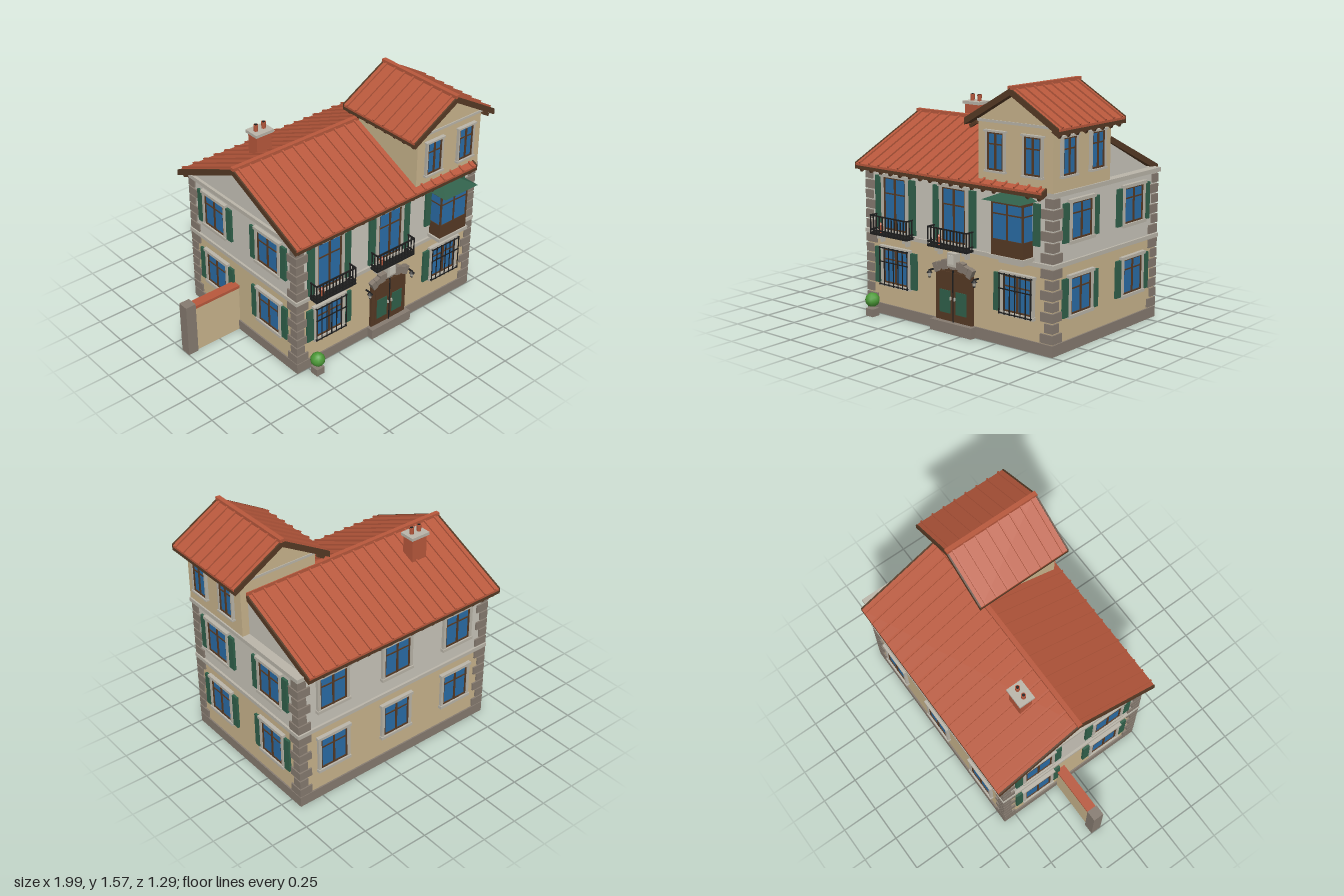
import * as THREE from 'three';

const mat = (name, color) => {
  const m = new THREE.MeshStandardMaterial({ color });
  m.name = name;
  return m;
};
const M = {
  ochre: mat('ochre plaster', 0xc9b48c),
  plaster: mat('pale plaster', 0xc9c5ba),
  trim: mat('light stone trim', 0xbab5a9),
  stone: mat('grey stone', 0x867b70),
  tile: mat('terracotta', 0xb8583c),
  wood: mat('brown wood', 0x563a25),
  iron: mat('black iron', 0x1e1e1e),
  glass: mat('blue glass', 0x2a6ca6),
  green: mat('green paint', 0x30604a),
  leaf: mat('leaf green', 0x4b9a36),
};

function add(parent, name, geo, material, x = 0, y = 0, z = 0) {
  const m = new THREE.Mesh(geo, material);
  m.name = name;
  m.position.set(x, y, z);
  parent.add(m);
  return m;
}
const box = (p, name, m, w, h, d, x, y, z) => add(p, name, new THREE.BoxGeometry(w, h, d), m, x, y, z);
// box given by its limits
const span = (p, name, m, x0, x1, y0, y1, z0, z1) =>
  box(p, name, m, x1 - x0, y1 - y0, z1 - z0, (x0 + x1) / 2, (y0 + y1) / 2, (z0 + z1) / 2);
const cyl = (p, name, m, rt, rb, h, x, y, z, n = 10) =>
  add(p, name, new THREE.CylinderGeometry(rt, rb, h, n), m, x, y, z);
function group(parent, name) {
  const g = new THREE.Group();
  g.name = name;
  parent.add(g);
  return g;
}
const prism = (pts, depth) => new THREE.ExtrudeGeometry(
  new THREE.Shape(pts.map(([x, y]) => new THREE.Vector2(x, y))), { depth, bevelEnabled: false });

// wall planes of the house
const X0 = -0.58, X1 = 0.91, Z0 = -0.58, Z1 = 0.49;
function onWall(g, side, u, y) {
  if (side === 'front') g.position.set(u, y, Z1);
  if (side === 'back') { g.position.set(u, y, Z0); g.rotation.y = Math.PI; }
  if (side === 'right') { g.position.set(X1, y, u); g.rotation.y = Math.PI / 2; }
  if (side === 'left') { g.position.set(X0, y, u); g.rotation.y = -Math.PI / 2; }
  return g;
}

// window facing +z, centred on its origin
function makeWindow(parent, w, h, shutters = [], t = 0.02) {
  const g = group(parent, 'window');
  box(g, 'glass', M.glass, w - t, h - t, 0.008, 0, 0, 0.004);
  for (const s of [-1, 1]) {
    box(g, 'frameSide', M.trim, t, h, 0.02, s * (w - t) / 2, 0, 0.01);
    box(g, 'frameRail', M.trim, w + (s > 0 ? 0.016 : 0.01), t, 0.026, 0, s * (h - t) / 2, 0.013);
    box(g, 'sashSide', M.wood, 0.01, h - 2 * t, 0.014, s * (w / 2 - t - 0.005), 0, 0.007);
    box(g, 'sashRail', M.wood, w - 2 * t, 0.01, 0.014, 0, s * (h / 2 - t - 0.005), 0.007);
  }
  box(g, 'mullion', M.wood, 0.012, h - 2 * t, 0.014, 0, 0, 0.008);
  box(g, 'transom', M.wood, w - 2 * t, 0.008, 0.014, 0, h * 0.17, 0.006);
  for (const s of shutters) box(g, 'shutter', M.green, 0.05, h - 0.03, 0.016, s * (w / 2 + 0.03), -0.003, 0.008);
  return g;
}

// gabled roof with its ridge along x
function gableRoof(parent, name, half, ridge, eave, length, ribs) {
  const g = group(parent, name);
  const chevron = (a, b, len, grow = 0) => {
    const e = grow * (ridge - eave) / half;
    const geo = prism([[-half - grow, eave - b - e], [0, ridge - b], [half + grow, eave - b - e],
      [half + grow, eave - a - e], [0, ridge - a], [-half - grow, eave - a - e]], len);
    return geo.translate(0, 0, -len / 2).rotateY(Math.PI / 2);
  };
  add(g, 'tiles', chevron(0, 0.014, length - 0.016), M.tile);
  add(g, 'roofBoards', chevron(0.014, 0.036, length - 0.016), M.wood);
  for (const s of [-1, 1]) add(g, 'vergeBoard', chevron(-0.004, 0.037, 0.01), M.wood, s * (length / 2 - 0.005));
  const slope = Math.hypot(half, ridge - eave), tilt = Math.atan2(ridge - eave, half);
  for (const s of [-1, 1]) for (let i = 0; i < ribs; i++) {
    const x = -length / 2 + (i + 0.5) * length / ribs;
    const rib = box(g, 'tileRib', M.tile, 0.012, 0.016, slope, x, (ridge + eave) / 2 + 0.003, s * half / 2);
    rib.rotation.x = s * tilt;
    box(g, 'rafterTail', M.wood, 0.018, 0.02, 0.06, x, eave - 0.033, s * (half - 0.04)).rotation.x = s * tilt;
  }
  box(g, 'ridgeCap', M.tile, length, 0.022, 0.03, 0, ridge + 0.005, 0);
  return g;
}

function makeBalcony(parent, x) {
  const g = group(parent, 'balcony');
  g.position.set(x, 0.54, Z1);
  box(g, 'slab', M.iron, 0.32, 0.014, 0.08, 0, 0.005, 0.04);
  for (const y of [0.03, 0.122]) {
    box(g, 'rail', M.iron, 0.32, 0.008, 0.008, 0, y, 0.076);
    for (const s of [-1, 1]) box(g, 'sideRail', M.iron, 0.008, 0.008, 0.08, s * 0.156, y, 0.04);
  }
  for (let i = 0; i <= 12; i++) box(g, 'baluster', M.iron, 0.006, 0.12, 0.006, -0.156 + i * 0.026, 0.065, 0.076);
  for (const s of [-1, 1]) {
    for (const z of [0.025, 0.05]) box(g, 'sideBaluster', M.iron, 0.006, 0.12, 0.006, s * 0.156, 0.065, z);
    box(g, 'bracket', M.trim, 0.016, 0.025, 0.06, s * 0.11, -0.015, 0.03);
    box(g, 'bracketFoot', M.trim, 0.016, 0.03, 0.03, s * 0.11, -0.04, 0.015);
  }
  cyl(g, 'flowerPot', M.tile, 0.018, 0.012, 0.04, -0.092, 0.032, 0.048);
  add(g, 'potPlant', new THREE.IcosahedronGeometry(0.016, 0), M.tile, -0.092, 0.062, 0.048);
}

function makeDoor(parent) {
  const g = group(parent, 'frontDoor');
  g.position.set(0.168, 0, Z1);
  span(g, 'doorStep', M.stone, -0.168, 0.168, 0, 0.07, 0, 0.055);
  const s = new THREE.Shape();
  s.moveTo(-0.147, 0.07).lineTo(0.147, 0.07).lineTo(0.147, 0.38).quadraticCurveTo(0, 0.46, -0.147, 0.38);
  add(g, 'doorFrame', new THREE.ExtrudeGeometry(s, { depth: 0.02, bevelEnabled: false }), M.wood);
  for (const k of [-1, 1]) {
    box(g, 'doorLeaf', M.wood, 0.115, 0.31, 0.008, k * 0.061, 0.23, 0.022);
    box(g, 'doorPanel', M.green, 0.085, 0.145, 0.008, k * 0.065, 0.195, 0.026);
    box(g, 'handle', M.trim, 0.008, 0.02, 0.014, k * 0.016, 0.22, 0.03);
    // wall lantern
    box(g, 'lampArm', M.iron, 0.008, 0.01, 0.045, k * 0.182, 0.375, 0.022);
    cyl(g, 'lampHood', M.iron, 0.005, 0.02, 0.016, k * 0.182, 0.367, 0.04, 6);
    cyl(g, 'lampGlass', M.trim, 0.013, 0.009, 0.025, k * 0.182, 0.347, 0.04, 6);
    cyl(g, 'lampBase', M.iron, 0.01, 0.006, 0.008, k * 0.182, 0.332, 0.04, 6);
  }
  box(g, 'doorGap', M.iron, 0.008, 0.33, 0.008, 0, 0.235, 0.025);
  // arch stones follow the curved head
  for (let i = -4; i <= 4; i++) {
    const x = i * 0.034;
    const b = box(g, 'archStone', M.stone, 0.036, i % 2 ? 0.045 : 0.06, 0.035, x, 0.437 - x * x * 1.9, 0.018);
    b.rotation.z = -x * 3.2;
  }
  box(g, 'keystone', M.trim, 0.07, 0.085, 0.04, 0, 0.468, 0.022);
  box(g, 'keystonePanel', M.plaster, 0.042, 0.055, 0.008, 0, 0.47, 0.044);
}

function makeBay(parent) {
  const g = group(parent, 'bayWindow');
  g.position.set(0.648, 0, Z1);
  span(g, 'bayFoot', M.trim, -0.09, 0.09, 0.525, 0.555, 0, 0.06);
  span(g, 'baySill', M.trim, -0.13, 0.13, 0.555, 0.578, 0, 0.105);
  span(g, 'bayPanel', M.wood, -0.118, 0.118, 0.578, 0.675, 0, 0.096);
  span(g, 'bayGlass', M.glass, -0.113, 0.113, 0.675, 0.9, 0, 0.09);
  span(g, 'bayHead', M.wood, -0.118, 0.118, 0.885, 0.91, 0, 0.096);
  span(g, 'bayTransom', M.wood, -0.116, 0.116, 0.822, 0.83, 0, 0.094);
  for (const x of [-0.113, 0, 0.113]) box(g, 'bayPost', M.wood, 0.01, 0.23, 0.01, x, 0.79, 0.091);
  // hipped canopy
  const v = [-0.145, 0.91, 0, 0.145, 0.91, 0, 0.145, 0.91, 0.155, -0.145, 0.91, 0.155, -0.03, 0.965, 0, 0.03, 0.965, 0];
  let geo = new THREE.BufferGeometry();
  geo.setAttribute('position', new THREE.Float32BufferAttribute(v, 3));
  geo.setIndex([3, 2, 5, 3, 5, 4, 2, 1, 5, 0, 3, 4, 0, 1, 2, 0, 2, 3]);
  geo = geo.toNonIndexed();
  geo.computeVertexNormals();
  add(g, 'bayRoof', geo, M.green);
  for (const s of [-1, 1]) box(g, 'bayShutter', M.green, 0.045, 0.25, 0.016, s * 0.15, 0.775, 0.008);
}

export function createModel() {
  const house = new THREE.Group();
  house.name = 'townHouse';

  // storeys and horizontal bands
  span(house, 'plinth', M.stone, X0 - 0.01, X1 + 0.01, 0, 0.07, Z0 - 0.01, Z1 + 0.01);
  span(house, 'groundFloor', M.ochre, X0, X1, 0.07, 0.54, Z0, Z1);
  span(house, 'upperFloor', M.plaster, X0, X1, 0.54, 0.965, Z0, Z1);
  span(house, 'stringCourse', M.trim, X0 - 0.015, X1 + 0.015, 0.527, 0.552, Z0 - 0.015, Z1 + 0.015);
  span(house, 'cornice', M.trim, X0 - 0.02, X1 + 0.02, 0.948, 0.975, Z0 - 0.025, Z1 + 0.02);
  const gable = prism([[-0.53, 0.96], [0.53, 0.96], [0, 1.218]], 1.45).rotateY(Math.PI / 2);
  add(house, 'gableWall', gable, M.plaster, X0, 0, -0.047);

  // corner quoins, alternating long and short
  for (const [x, sx] of [[X0, 1], [X1, -1]]) for (const [z, sz] of [[Z0, 1], [Z1, -1]]) {
    for (const [y0, n] of [[0.075, 7], [0.557, 6]]) for (let i = 0; i < n; i++) {
      const s = i % 2 ? 0.062 : 0.092;
      box(house, 'quoin', M.stone, s, 0.055, s, x + sx * (s / 2 - 0.011), y0 + 0.029 + i * 0.065, z + sz * (s / 2 - 0.011));
    }
  }

  // side and back windows
  for (const y of [0.335, 0.785]) {
    for (const side of ['left', 'right']) for (const z of [0.228, -0.315])
      onWall(makeWindow(house, 0.24, 0.265, [-1, 1]), side, z, y);
    for (const x of [-0.33, 0.165, 0.66]) onWall(makeWindow(house, 0.24, 0.265), 'back', x, y);
  }

  // front ground-floor windows with iron grilles
  for (const x of [-0.33, 0.66]) {
    const w = onWall(makeWindow(house, 0.25, 0.265, x < 0 ? [-1, 1] : [-1]), 'front', x, 0.33);
    for (let i = 0; i < 7; i++) box(w, 'grilleBar', M.iron, 0.005, 0.255, 0.005, -0.12 + i * 0.04, 0, 0.036);
    for (const y of [-0.12, 0.03, 0.12]) box(w, 'grilleRail', M.iron, 0.25, 0.006, 0.006, 0, y, 0.036);
    for (const s of [-1, 1]) for (const y of [-0.12, 0.12]) box(w, 'grilleStay', M.iron, 0.006, 0.006, 0.036, s * 0.12, y, 0.018);
  }

  // balcony doors
  for (const x of [-0.33, 0.165]) {
    onWall(makeWindow(house, 0.23, 0.38, [-1, 1]), 'front', x, 0.74);
    makeBalcony(house, x);
  }
  makeBay(house);
  makeDoor(house);

  // main roof
  gableRoof(house, 'mainRoof', 0.597, 1.255, 0.98, 1.515, 18).position.set(0.1225, 0, -0.047);

  // corner tower
  const tower = group(house, 'tower');
  tower.position.set(0.645, 0, 0);
  const body = prism([[-0.275, 0.965], [0.275, 0.965], [0.275, 1.356], [0, 1.518], [-0.275, 1.356]], 0.565);
  add(tower, 'towerWalls', body, M.ochre, 0, 0, -0.055);
  span(tower, 'towerBand', M.trim, -0.28, 0.28, 1.342, 1.358, -0.06, 0.517);
  const towerRoof = gableRoof(tower, 'towerRoof', 0.345, 1.555, 1.355, 0.67, 8);
  towerRoof.rotation.y = Math.PI / 2;
  towerRoof.position.z = 0.225;
  for (const s of [-1, 1]) makeWindow(tower, 0.145, 0.25, [], 0.012).position.set(s * 0.138, 1.175, 0.51);
  for (const s of [-1, 1]) for (const z of [0.37, 0.09]) {
    if (s < 0) continue;
    const w = makeWindow(tower, 0.15, 0.245, [], 0.012);
    w.position.set(0.275, 1.178, z);
    w.rotation.y = Math.PI / 2;
  }

  // chimney
  const chimney = group(house, 'chimney');
  chimney.position.set(-0.28, 0, -0.228);
  box(chimney, 'stack', M.tile, 0.115, 0.25, 0.088, 0, 1.195, 0);
  box(chimney, 'chimneyCap', M.trim, 0.14, 0.02, 0.11, 0, 1.321, 0);
  for (const s of [-1, 1]) {
    cyl(chimney, 'chimneyPot', M.tile, 0.016, 0.014, 0.045, s * 0.03, 1.352, 0);
    cyl(chimney, 'potMouth', M.iron, 0.01, 0.01, 0.004, s * 0.03, 1.3745, 0);
  }

  // garden wall
  const garden = group(house, 'gardenWall');
  span(garden, 'wall', M.ochre, -0.94, X0, 0, 0.33, -0.15, -0.1);
  span(garden, 'wallCap', M.tile, -0.93, X0, 0.33, 0.35, -0.158, -0.092);
  span(garden, 'pillar', M.stone, -1, -0.927, 0, 0.37, -0.162, -0.088);

  // potted shrub
  const shrub = group(house, 'shrub');
  shrub.position.set(-0.48, 0, 0.568);
  box(shrub, 'planter', M.stone, 0.062, 0.05, 0.062, 0, 0.025, 0);
  add(shrub, 'leaves', new THREE.IcosahedronGeometry(0.048, 1), M.leaf, 0, 0.105, 0);
  return house;
}
